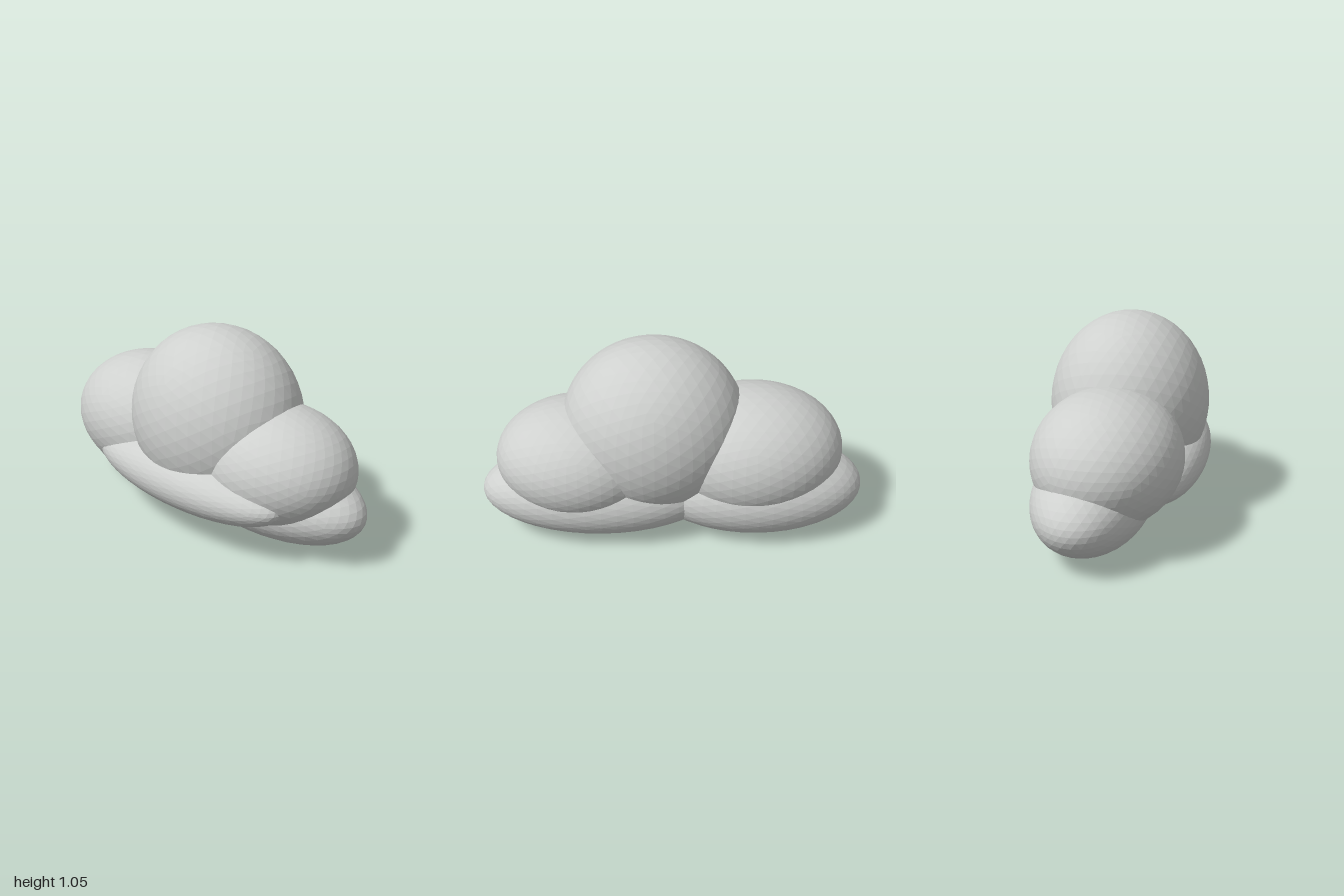
import * as THREE from 'three';

export function createModel() {
  const cloud = new THREE.Group();
  cloud.name = 'cloud';

  const cloudGrey = new THREE.MeshStandardMaterial({ color: 0xced0ce, flatShading: true });
  cloudGrey.name = 'cloudGrey';

  // One faceted ball, stretched into each puff
  const ball = new THREE.IcosahedronGeometry(1, 7);

  // name, centre, radii
  const puffs = [
    ['topPuff', [0.095, 0.58, -0.003], [0.48, 0.472, 0.415]],
    ['rightPuff', [-0.42, 0.438, -0.025], [0.475, 0.338, 0.38]],
    ['leftPuff', [0.48, 0.42, -0.05], [0.44, 0.305, 0.363]],
    ['frontPuff', [0.085, 0.3, 0.2], [0.66, 0.165, 0.22]],
    ['rightBasePuff', [-0.44, 0.25, -0.09], [0.56, 0.25, 0.3]],
    ['leftBasePuff', [0.37, 0.245, -0.095], [0.63, 0.235, 0.29]],
  ];

  for (const [name, centre, radii] of puffs) {
    const puff = new THREE.Mesh(ball, cloudGrey);
    puff.name = name;
    puff.position.set(...centre);
    puff.scale.set(...radii);
    cloud.add(puff);
  }
  return cloud;
}
